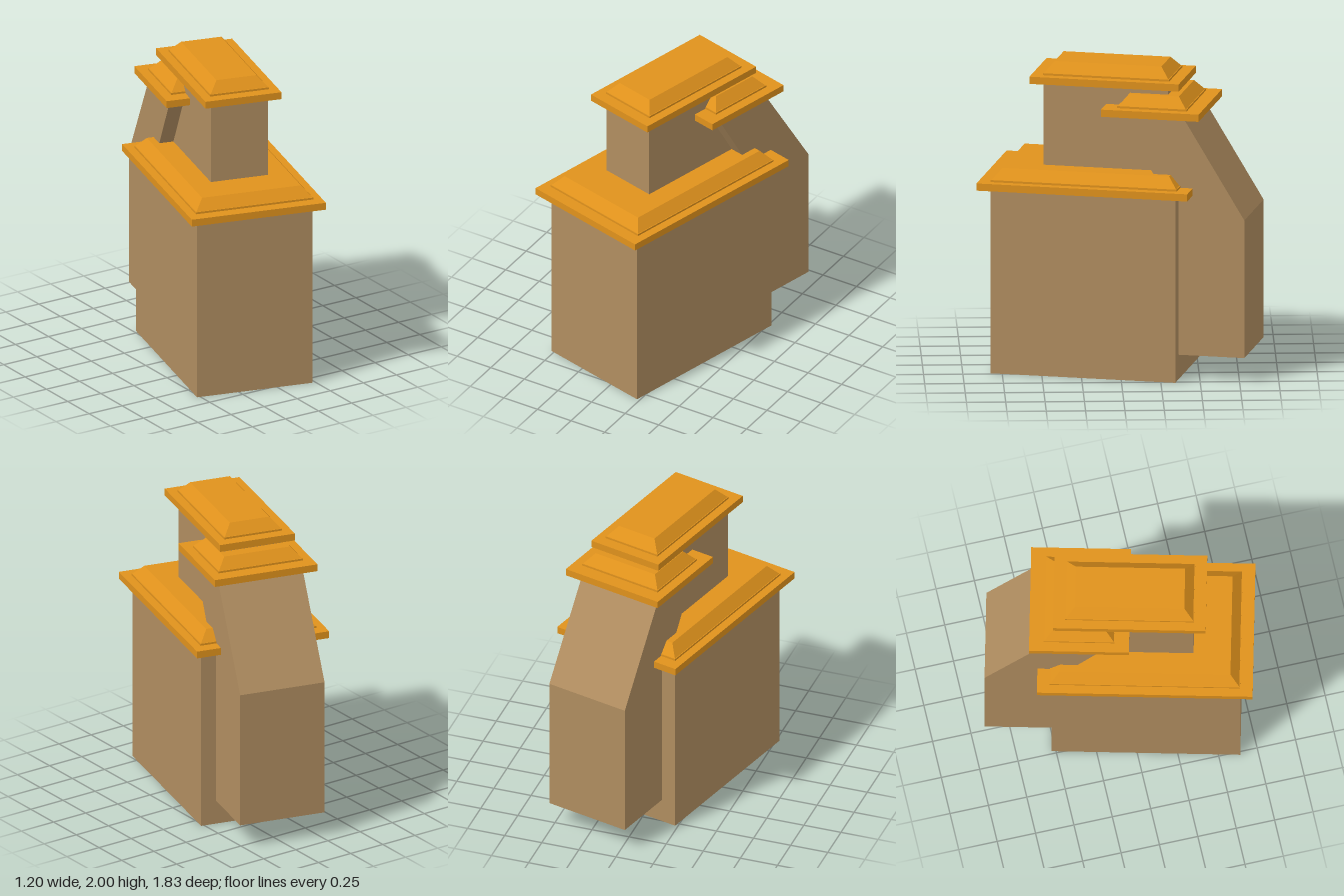
import * as THREE from 'three';

const wall = new THREE.MeshStandardMaterial({ color: 0xb08d60, flatShading: true });
const trim = new THREE.MeshStandardMaterial({ color: 0xe0921c, flatShading: true });

// Block from y0 to y1 centred on z, its top drawn in by inset on every side
function block(name, material, w, d, y0, y1, z, inset = 0) {
  const geo = new THREE.BoxGeometry(w, y1 - y0, d);
  const p = geo.attributes.position;
  for (let i = 0; i < p.count; i++) {
    if (p.getY(i) > 0) {
      p.setX(i, p.getX(i) - Math.sign(p.getX(i)) * inset);
      p.setZ(i, p.getZ(i) - Math.sign(p.getZ(i)) * inset);
    }
  }
  geo.computeVertexNormals();
  const mesh = new THREE.Mesh(geo, material);
  mesh.name = name;
  mesh.position.set(0, (y0 + y1) / 2, z);
  return mesh;
}

// Flat slab, thin pad and bevelled crown
function cap(name, y, z, slabW, slabD, crownW, crownD, height) {
  const g = new THREE.Group();
  g.name = name;
  g.add(
    block('slab', trim, slabW, slabD, y, y + 0.047, z),
    block('pad', trim, crownW + 0.01, crownD + 0.01, y + 0.047, y + 0.06, z),
    block('crown', trim, crownW, crownD, y + 0.06, y + height, z, 0.058)
  );
  return g;
}

// Rear duct: vertical below, leaning forward above
function duct() {
  const w = 0.575;
  const shape = new THREE.Shape([
    [-0.884, 0.16], [-0.44, 0.16], [-0.45, 1.06], [-0.08, 1.705], [-0.49, 1.705], [-0.884, 1.06]
  ].map(([z, y]) => new THREE.Vector2(-z, y)));
  const geo = new THREE.ExtrudeGeometry(shape, { depth: w, bevelEnabled: false });
  geo.translate(0, 0, -w / 2);
  geo.rotateY(Math.PI / 2); // shape x becomes -z
  const mesh = new THREE.Mesh(geo, wall);
  mesh.name = 'rearDuct';
  return mesh;
}

export function createModel() {
  const model = new THREE.Group();
  model.name = 'building';

  // The whole building is turned about the vertical axis
  const turned = new THREE.Group();
  turned.name = 'turnedBuilding';
  turned.rotation.y = THREE.MathUtils.degToRad(-14);
  const axis = new THREE.Group();
  axis.name = 'mainAxis';
  axis.position.x = 0.035;
  turned.add(axis);
  model.add(turned);

  axis.add(
    block('lowerBody', wall, 0.775, 1.2, 0, 1.21, 0.143),
    cap('lowerCap', 1.205, 0.137, 0.9, 1.37, 0.78, 1.2, 0.128),
    block('upperBody', wall, 0.385, 0.81, 1.3, 1.875, 0.037),
    cap('upperCap', 1.872, 0.035, 0.51, 0.97, 0.385, 0.81, 0.128),
    duct(),
    cap('ductCap', 1.705, -0.283, 0.7, 0.635, 0.567, 0.44, 0.128)
  );
  return model;
}
